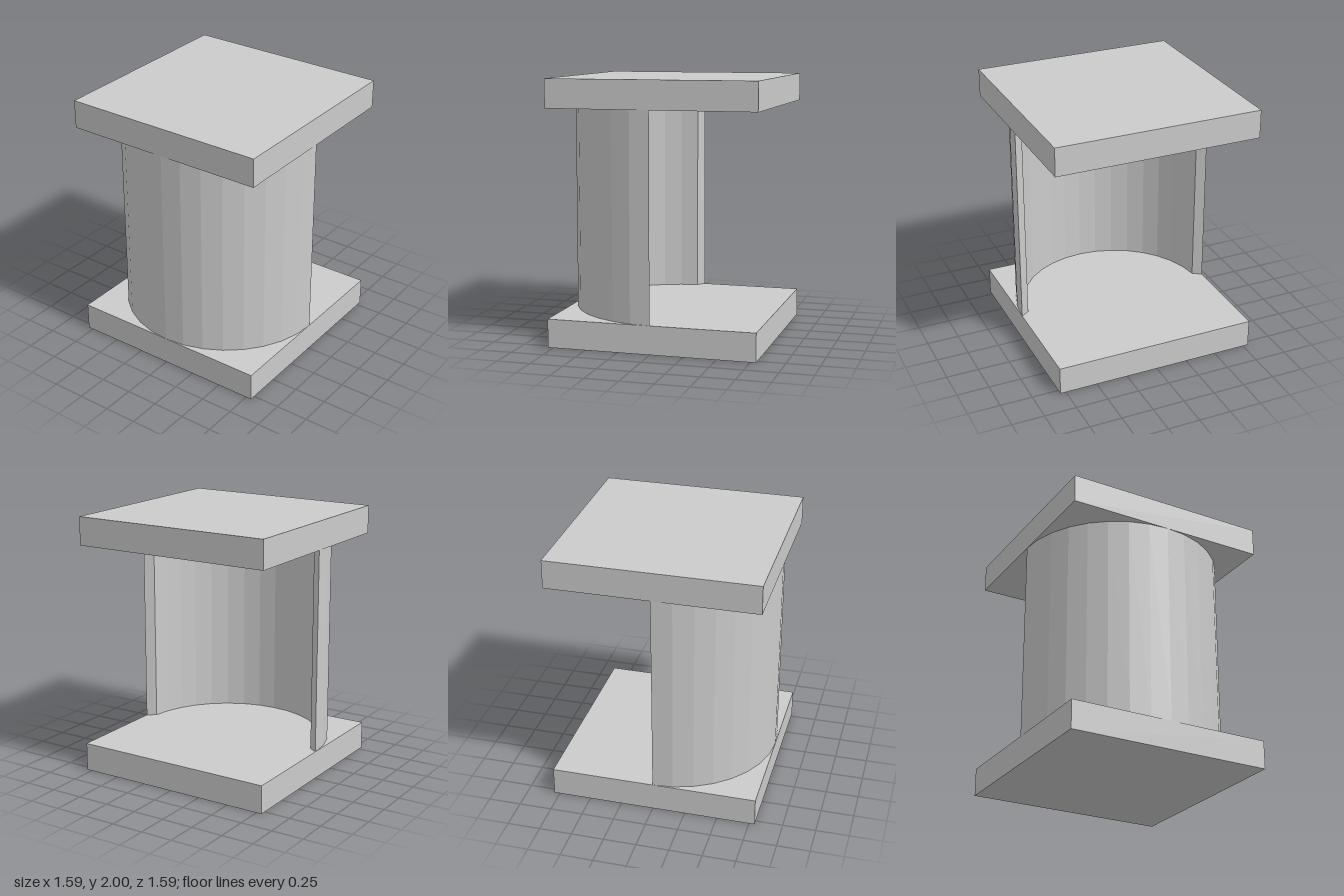
import * as THREE from 'three';

const HALF = 0.793;       // half width of the plates, also outer wall radius
const INNER = 0.727;      // inner wall radius
const PLATE = 0.217;      // plate thickness
const HEIGHT = 2;
const SEGMENTS = 16;      // facets around the half circle

const arcPoint = (radius, angle) =>
  new THREE.Vector2(radius * Math.cos(angle), radius * Math.sin(angle));

export function createModel() {
  const group = new THREE.Group();
  const material = new THREE.MeshStandardMaterial({ color: 0xcccccc, flatShading: true });

  const add = (name, geometry, y) => {
    const mesh = new THREE.Mesh(geometry, material);
    mesh.name = name;
    mesh.position.y = y;
    group.add(mesh);
  };

  // Square plates at the bottom and top
  const plate = new THREE.BoxGeometry(HALF * 2, PLATE, HALF * 2);
  add('bottomPlate', plate, PLATE / 2);
  add('topPlate', plate, HEIGHT - PLATE / 2);

  // Half-round wall, open to the back, with slightly slanted ends
  const slant = THREE.MathUtils.degToRad(3.6);
  const outline = [];
  for (let i = 0; i <= SEGMENTS; i++) {
    outline.push(arcPoint(HALF, (Math.PI * i) / SEGMENTS));
  }
  for (let i = SEGMENTS; i >= 0; i--) {
    outline.push(arcPoint(INNER, slant + ((Math.PI - 2 * slant) * i) / SEGMENTS));
  }
  const wall = new THREE.ExtrudeGeometry(new THREE.Shape(outline), {
    depth: HEIGHT - 2 * PLATE,
    bevelEnabled: false,
  });
  wall.rotateX(Math.PI / 2);
  add('curvedWall', wall, HEIGHT - PLATE);

  return group;
}
